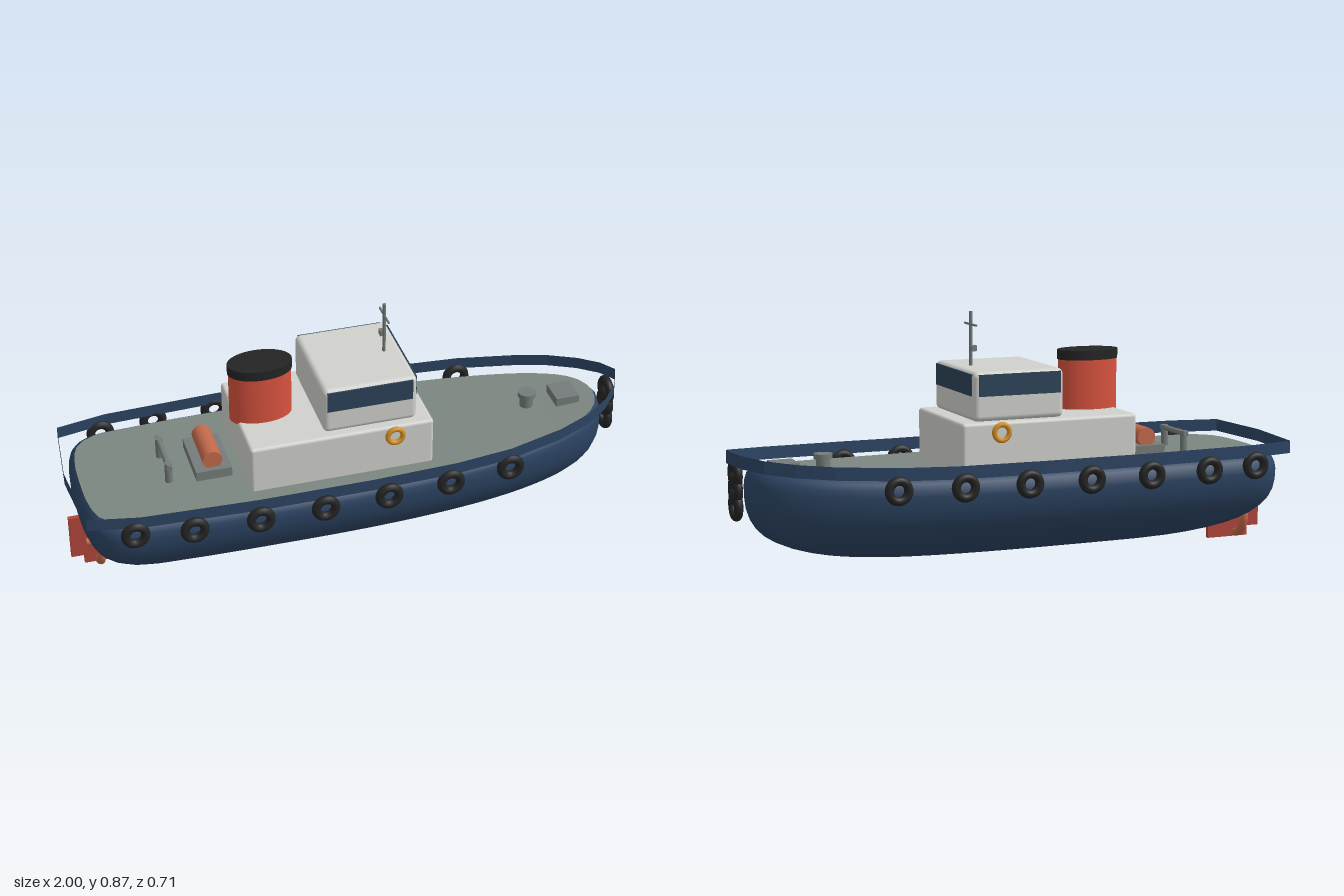
import * as THREE from 'three';
import { RoundedBoxGeometry } from 'three/addons/geometries/RoundedBoxGeometry.js';

const mat = (name, color, side = THREE.FrontSide) =>
  Object.assign(new THREE.MeshStandardMaterial({ color, side }), { name });

export function createModel() {
  const navy = mat('navy', 0x2c4463, THREE.DoubleSide);
  const glass = mat('glass', 0x2c4259);
  const deckGrey = mat('deckGrey', 0x7c8680);
  const white = mat('white', 0xd0d0cc);
  const red = mat('red', 0xd8523e);
  const rudderRed = mat('rudderRed', 0xb0453a);
  const copper = mat('copper', 0xc2694a);
  const orange = mat('orange', 0xd48f26);
  const black = mat('black', 0x242424);
  const steel = mat('steel', 0x747c7a);

  const boat = new THREE.Group();
  boat.name = 'tugboat';
  const add = (name, geo, material, x = 0, y = 0, z = 0) => {
    const mesh = new THREE.Mesh(geo, material);
    mesh.name = name;
    mesh.position.set(x, y, z);
    boat.add(mesh);
    return mesh;
  };
  const box = (w, h, d) => new THREE.BoxGeometry(w, h, d);
  const cyl = (r, h, n = 20) => new THREE.CylinderGeometry(r, r, h, n);
  const meshGeo = (pos, index) => {
    const g = new THREE.BufferGeometry();
    g.setAttribute('position', new THREE.Float32BufferAttribute(pos, 3));
    g.setIndex(index);
    g.computeVertexNormals();
    return g;
  };

  // Half waterline, stern to bow, mirrored into a closed ring
  const half = new THREE.CatmullRomCurve3([
    [-0.97, 0], [-0.965, 0.13], [-0.94, 0.235], [-0.88, 0.288], [-0.7, 0.308], [-0.35, 0.318],
    [0, 0.318], [0.3, 0.3], [0.55, 0.264], [0.75, 0.207], [0.87, 0.14], [0.92, 0.075], [0.937, 0],
  ].map(([x, z]) => new THREE.Vector3(x, 0, z)), false, 'centripetal').getSpacedPoints(48);
  const ring = [...half, ...half.slice(1, -1).reverse().map(p => new THREE.Vector3(p.x, 0, -p.z))];
  const N = ring.length;

  // Hull levels [y, length scale, beam scale]: blunt-ended bowl, then a rounded shoulder
  const keel = 0.035, beamY = 0.29, deckY = 0.345;
  const levels = [];
  for (let i = 0; i <= 16; i++) {
    const t = (i / 16) ** 2.5;
    levels.push([keel + t * (beamY - keel),
      (1 - (1 - t) ** 3.2) ** (1 / 3.2), Math.sqrt(1 - (1 - t) ** 2)]);
  }
  levels.push([0.313, 0.997, 0.987], [0.332, 0.99, 0.955], [deckY, 0.979, 0.895]);
  const place = (p, [y, sx, sz]) => [p.x * sx,
    y + 0.033 * Math.max(0, p.x * sx) ** 3 * (y - keel) / (deckY - keel), p.z * sz];
  const hullPos = [], hullIdx = [];
  levels.forEach((level, k) => ring.forEach((p, i) => {
    hullPos.push(...place(p, level));
    if (k === levels.length - 1) return;
    const a = k * N + i, b = k * N + (i + 1) % N;
    hullIdx.push(a, b, a + N, b, b + N, a + N);
  }));
  add('hull', meshGeo(hullPos, hullIdx), navy);

  // Deck spans the top ring from side to side
  const deckPos = [], deckIdx = [];
  half.forEach((p, i) => {
    const [x, y, z] = place(p, levels[levels.length - 1]);
    deckPos.push(x, y, z, x, y, -z);
    const a = 2 * i;
    if (i < half.length - 1) deckIdx.push(a, a + 2, a + 1, a + 2, a + 3, a + 1);
  });
  add('deck', meshGeo(deckPos, deckIdx), deckGrey);

  // Bulwark: thin faceted band with a rising bow, [x, z, top]
  const rail = [
    [-1, 0, 0.393], [-0.975, 0.275, 0.393], [-0.8, 0.31, 0.393], [-0.4, 0.328, 0.393],
    [0, 0.328, 0.393], [0.3, 0.316, 0.393], [0.5, 0.295, 0.397], [0.7, 0.245, 0.405],
    [0.82, 0.197, 0.413], [0.91, 0.137, 0.422], [0.97, 0.07, 0.433], [1, 0, 0.444],
  ];
  const railPos = [], railIdx = [];
  for (const s of [1, -1]) for (let i = 0; i < rail.length - 1; i++) {
    const n = railPos.length / 3;
    for (const [x, z, y] of [rail[i], rail[i + 1]]) railPos.push(x, y - 0.044, z * s, x, y, z * s);
    railIdx.push(...(s > 0 ? [0, 2, 1, 2, 3, 1] : [0, 1, 2, 2, 1, 3]).map(v => v + n));
  }
  add('bulwark', meshGeo(railPos, railIdx), navy);

  // Tyre fenders along both sides and hanging at the bow
  const tyre = new THREE.TorusGeometry(0.034, 0.0155, 12, 28);
  const tyreZ = [0.306, 0.333, 0.34, 0.34, 0.335, 0.32, 0.295];
  [-0.82, -0.625, -0.4, -0.175, 0.05, 0.275, 0.5].forEach((x, i) => {
    for (const s of [1, -1]) add('sideFender', tyre, black, x, 0.32, s * tyreZ[i]);
  });
  for (const y of [0.255, 0.308, 0.361])
    add('bowFender', new THREE.TorusGeometry(0.038, 0.0155, 12, 28), black, 0.97, y, 0).rotation.y = Math.PI / 2;

  // Deckhouse and wheelhouse
  add('deckhouse', new RoundedBoxGeometry(0.645, 0.185, 0.43, 3, 0.012), white, -0.078, 0.4225, 0);
  add('wheelhouse', new RoundedBoxGeometry(0.33, 0.17, 0.376, 4, 0.02), white, 0.027, 0.598, 0);
  add('frontWindow', box(0.006, 0.074, 0.336), glass, 0.192, 0.637, 0);
  for (const s of [1, -1]) {
    add('sideWindow', box(0.3, 0.074, 0.006), glass, 0.025, 0.637, s * 0.188);
    add('lifeRing', new THREE.TorusGeometry(0.027, 0.009, 10, 28), orange, 0.105, 0.48, s * 0.221);
  }

  // Oval funnel with dark cap
  add('funnel', cyl(0.068, 0.185, 36), red, -0.31, 0.5975, 0).scale.x = 1.6;
  add('funnelCap', cyl(0.07, 0.034, 36), black, -0.31, 0.705, 0).scale.x = 1.6;

  // Mast with crossbar and lamp
  add('mast', cyl(0.006, 0.195, 12), steel, 0.13, 0.773, 0);
  add('mastCrossbar', cyl(0.004, 0.104, 10), steel, 0.13, 0.825, 0).rotation.x = Math.PI / 2;
  add('mastLamp', box(0.02, 0.02, 0.02), steel, 0.13, 0.745, -0.022);

  // Towing winch and towing bar
  add('winchBase', box(0.125, 0.04, 0.21), steel, -0.503, 0.36, 0);
  add('winchDrum', cyl(0.034, 0.17, 24), copper, -0.503, 0.407, 0).rotation.x = Math.PI / 2;
  add('towingBar', cyl(0.01, 0.19, 14), steel, -0.655, 0.41, 0).rotation.x = Math.PI / 2;
  for (const s of [1, -1]) add('towingPost', cyl(0.013, 0.08, 14), steel, -0.655, 0.38, s * 0.075);

  // Foredeck capstan and hatch
  add('capstan', cyl(0.024, 0.06), steel, 0.665, 0.375, 0);
  add('capstanHead', cyl(0.032, 0.018), steel, 0.665, 0.402, 0);
  add('hatch', box(0.085, 0.04, 0.1), steel, 0.803, 0.372, 0);

  // Rudder, skeg and propeller ring
  add('rudder', box(0.05, 0.165, 0.016), rudderRed, -0.975, 0.1225, 0);
  add('skeg', box(0.16, 0.15, 0.016), rudderRed, -0.875, 0.08, 0);
  add('propellerRing', new THREE.TorusGeometry(0.075, 0.015, 12, 32), copper, -0.905, 0.094, 0).rotation.y = Math.PI / 2;
  add('propellerHub', cyl(0.018, 0.08), copper, -0.905, 0.094, 0).rotation.z = Math.PI / 2;

  return boat;
}
